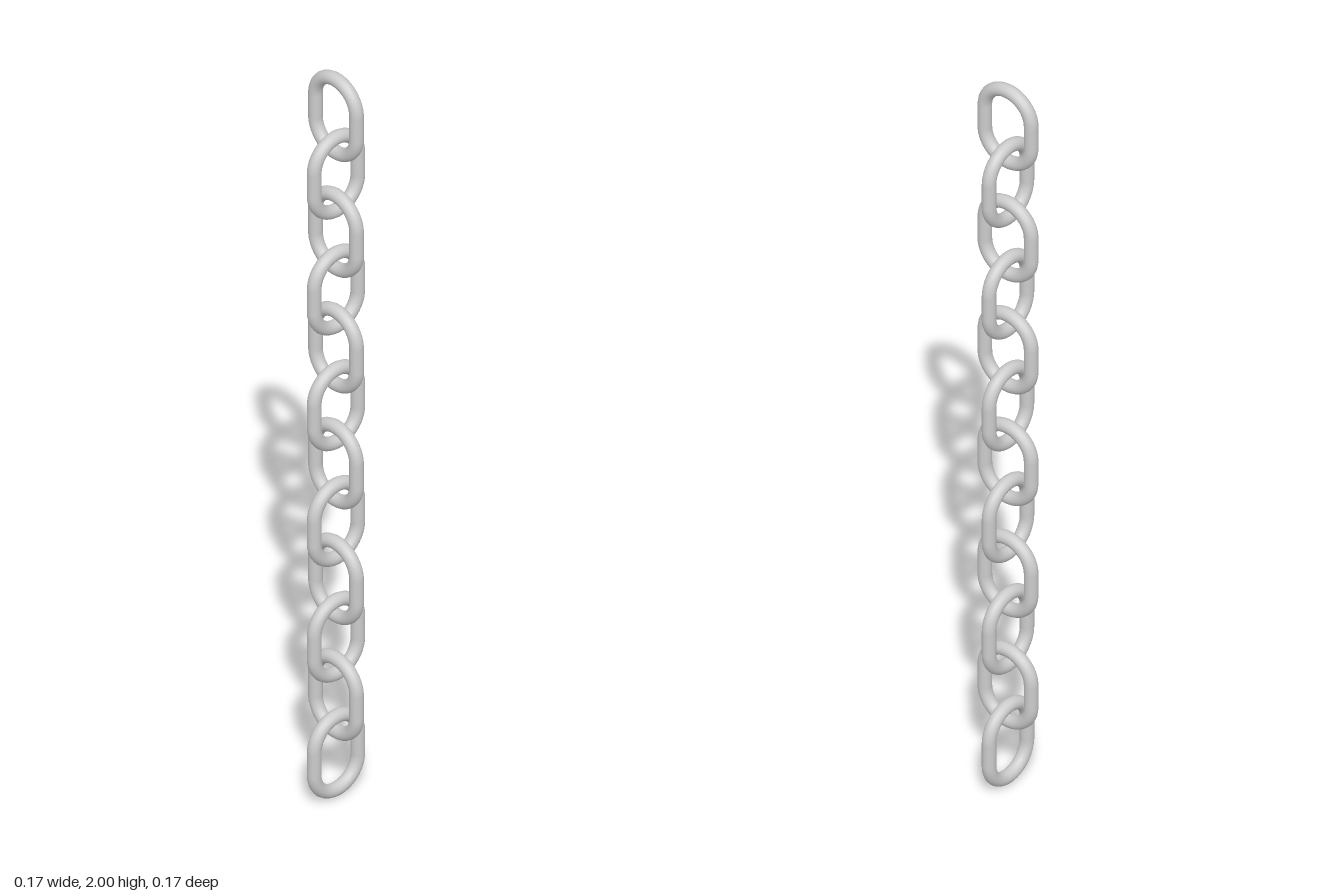
import * as THREE from 'three';

const LINKS = 12;
const WIRE = 0.017;          // wire radius
const BEND = 0.069;          // centre-line radius of the rounded ends
const HALF = 0.0315;         // half length of the straight sides
const HEIGHT = 2 * (HALF + BEND + WIRE);
const TWIST = -0.13;         // slight turn of the whole chain about y

// Closed stadium-shaped centre line in the xy plane, evenly paced by length
class LinkCurve extends THREE.Curve {
  getPoint(t, target = new THREE.Vector3()) {
    const arc = Math.PI * BEND;
    const total = 2 * arc + 4 * HALF;
    let s = (t % 1) * total;
    const flip = s >= total / 2 ? -1 : 1;
    if (flip < 0) s -= total / 2;
    if (s < 2 * HALF) return target.set(flip * BEND, flip * (s - HALF), 0);
    const a = (s - 2 * HALF) / BEND;
    return target.set(flip * BEND * Math.cos(a), flip * (HALF + BEND * Math.sin(a)), 0);
  }
}

export function createModel() {
  const chain = new THREE.Group();
  chain.name = 'chain';
  const material = new THREE.MeshStandardMaterial({ color: 0xcccccc });
  const geometry = new THREE.TubeGeometry(new LinkCurve(), 72, WIRE, 16, true);
  const pitch = (2 - HEIGHT) / (LINKS - 1);

  // Links stacked from the bottom, every other one turned a quarter
  for (let i = 0; i < LINKS; i++) {
    const link = new THREE.Mesh(geometry, material);
    link.name = `link${i + 1}`;
    link.position.y = HEIGHT / 2 + i * pitch;
    link.rotation.y = TWIST + (i % 2) * Math.PI / 2;
    chain.add(link);
  }
  return chain;
}
